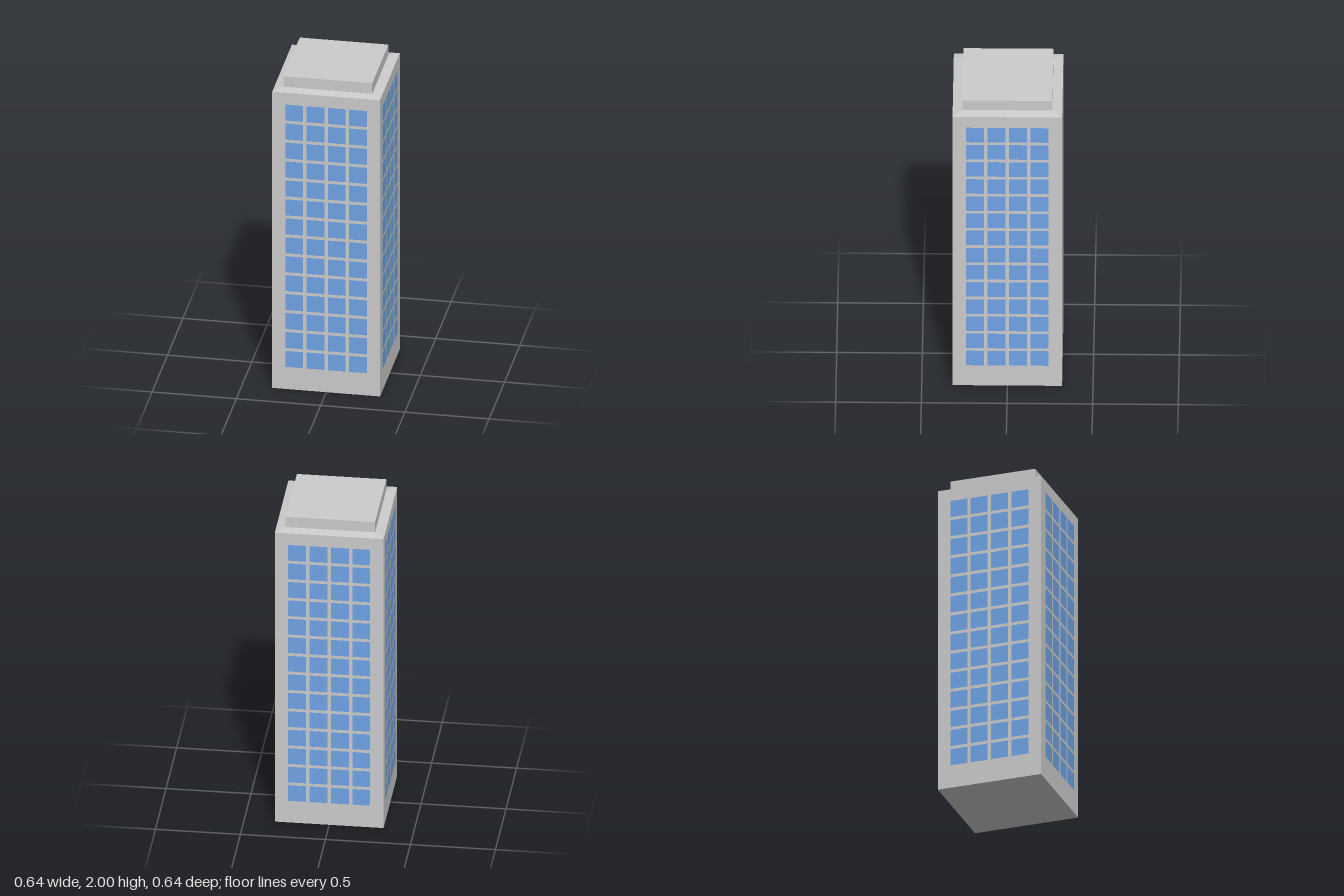
import * as THREE from 'three';

const HALF = 0.32;           // half width of the tower
const COLS = 4, ROWS = 14;   // windows per side

export function createModel() {
  const model = new THREE.Group();
  model.name = 'tower';
  const wall = new THREE.MeshStandardMaterial({ color: 0xcccccc, flatShading: true });
  const glass = new THREE.MeshStandardMaterial({ color: 0x6fa3e6 });

  // Square shell: walls, sloped roof rim and raised roof block, turned in four steps
  const profile = [[0, 0], [HALF, 0], [HALF, 1.922], [0.263, 1.932], [0.263, 2], [0, 2]]
    .map(([r, y]) => new THREE.Vector2(r * Math.SQRT2, y));
  const shell = new THREE.LatheGeometry(profile, 4, Math.PI / 4).toNonIndexed();
  shell.computeVertexNormals();
  const building = new THREE.Mesh(shell, wall);
  building.name = 'building';
  model.add(building);

  // Grid of flush window panes, repeated on all four sides
  const pane = new THREE.PlaneGeometry(0.105, 0.104);
  for (let side = 0; side < 4; side++) {
    const windows = new THREE.Group();
    windows.name = 'windows' + ['Front', 'Left', 'Back', 'Right'][side];
    windows.rotation.y = side * Math.PI / 2;
    for (let row = 0; row < ROWS; row++) {
      for (let col = 0; col < COLS; col++) {
        const mesh = new THREE.Mesh(pane, glass);
        mesh.name = 'window';
        mesh.position.set((col - (COLS - 1) / 2) * 0.126, 0.196 + row * 0.1229, HALF + 0.001);
        windows.add(mesh);
      }
    }
    model.add(windows);
  }
  return model;
}
